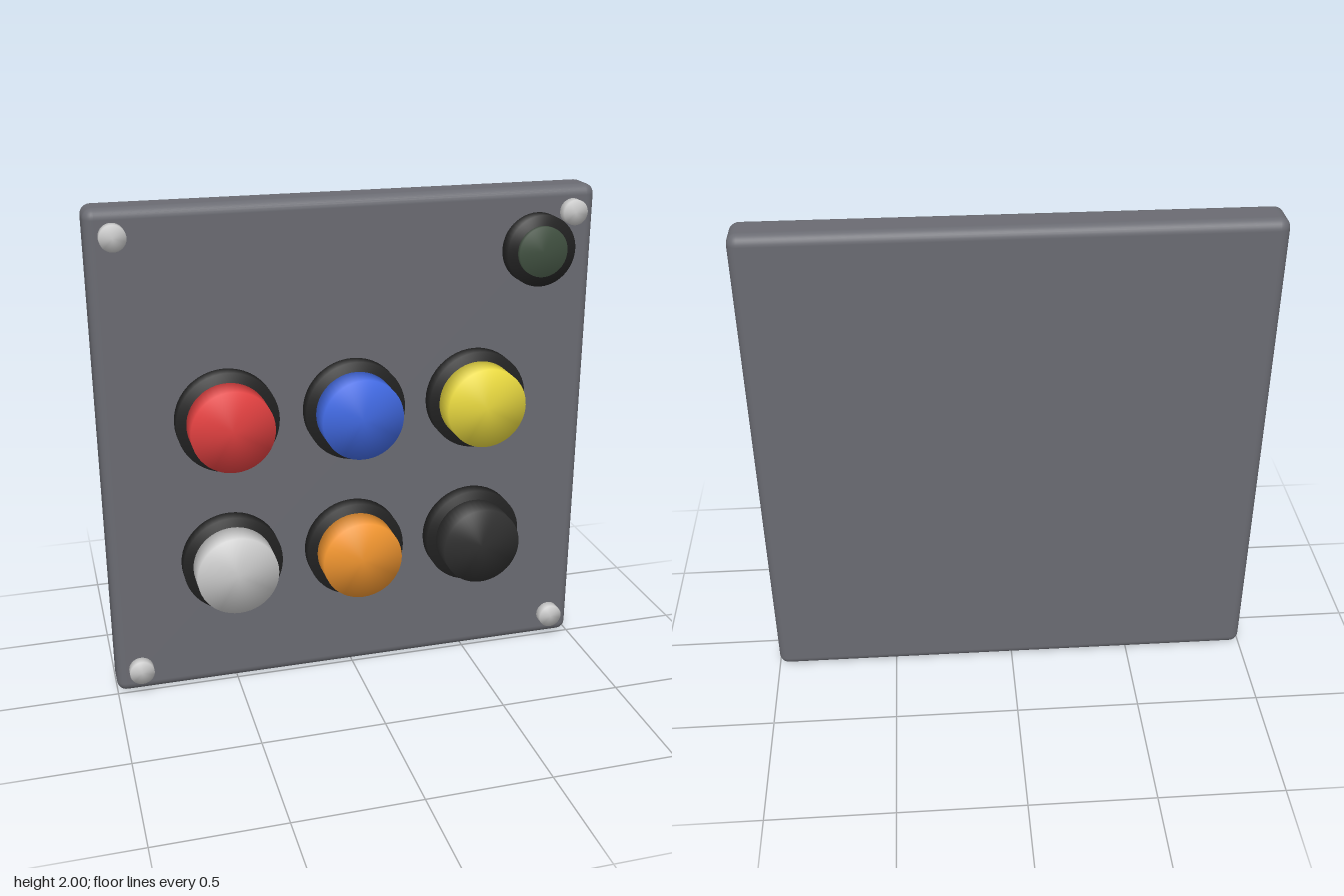
import * as THREE from 'three';
import { mergeVertices } from 'three/addons/utils/BufferGeometryUtils.js';
import { RoundedBoxGeometry } from 'three/addons/geometries/RoundedBoxGeometry.js';

const material = (color) => new THREE.MeshStandardMaterial({ color });

// Disc facing +z from z0 to z1; soft ones share normals over the rim so they look domed
function disc(name, radius, z0, z1, mat, soft) {
  let geo = new THREE.CylinderGeometry(radius, radius, z1 - z0, 48);
  if (soft) {
    geo.deleteAttribute('uv');
    geo.deleteAttribute('normal');
    geo = mergeVertices(geo);
    geo.computeVertexNormals();
  }
  geo.rotateX(Math.PI / 2).translate(0, 0, (z0 + z1) / 2);
  const mesh = new THREE.Mesh(geo, mat);
  mesh.name = name;
  return mesh;
}

// A collar with a cap standing on it
function capped(name, x, y, collarRadius, capRadius, capFront, collarMat, capMat) {
  const group = new THREE.Group();
  group.name = name;
  group.position.set(x, y, 0);
  group.add(
    disc('collar', collarRadius, -0.01, 0.06, collarMat, true),
    disc('cap', capRadius, 0.05, capFront, capMat, true)
  );
  return group;
}

export function createModel() {
  const model = new THREE.Group();
  model.name = 'buttonPanel';
  const dark = material(0x222222);
  const steel = material(0xcccccc);

  // Panel body with rounded edges
  const panel = new THREE.Mesh(new RoundedBoxGeometry(2, 2, 0.165, 4, 0.04), material(0x6a6b72));
  panel.name = 'panel';
  panel.position.set(0, 1, -0.0825);
  model.add(panel);

  // Two rows of push buttons
  const rows = [
    { y: 1.165, caps: [['red', 0xe04040], ['blue', 0x4169e1], ['yellow', 0xe8d840]] },
    { y: 0.56, caps: [['white', 0xcccccc], ['orange', 0xf09530], ['black', 0x303030]] },
  ];
  for (const { y, caps } of rows) {
    caps.forEach(([name, color], i) => {
      model.add(capped(name + 'Button', (i - 1) * 0.51, y, 0.202, 0.163, 0.17, dark, material(color)));
    });
  }

  // Indicator lamp
  model.add(capped('indicatorLamp', 0.755, 1.76, 0.142, 0.1, 0.08, dark, material(0x405040)));

  // Corner screws
  for (const x of [-0.9, 0.9]) {
    for (const y of [0.105, 1.9]) {
      const screw = disc('screw', 0.05, -0.01, 0.04, steel, true);
      screw.position.set(x, y, 0);
      model.add(screw);
    }
  }
  return model;
}
